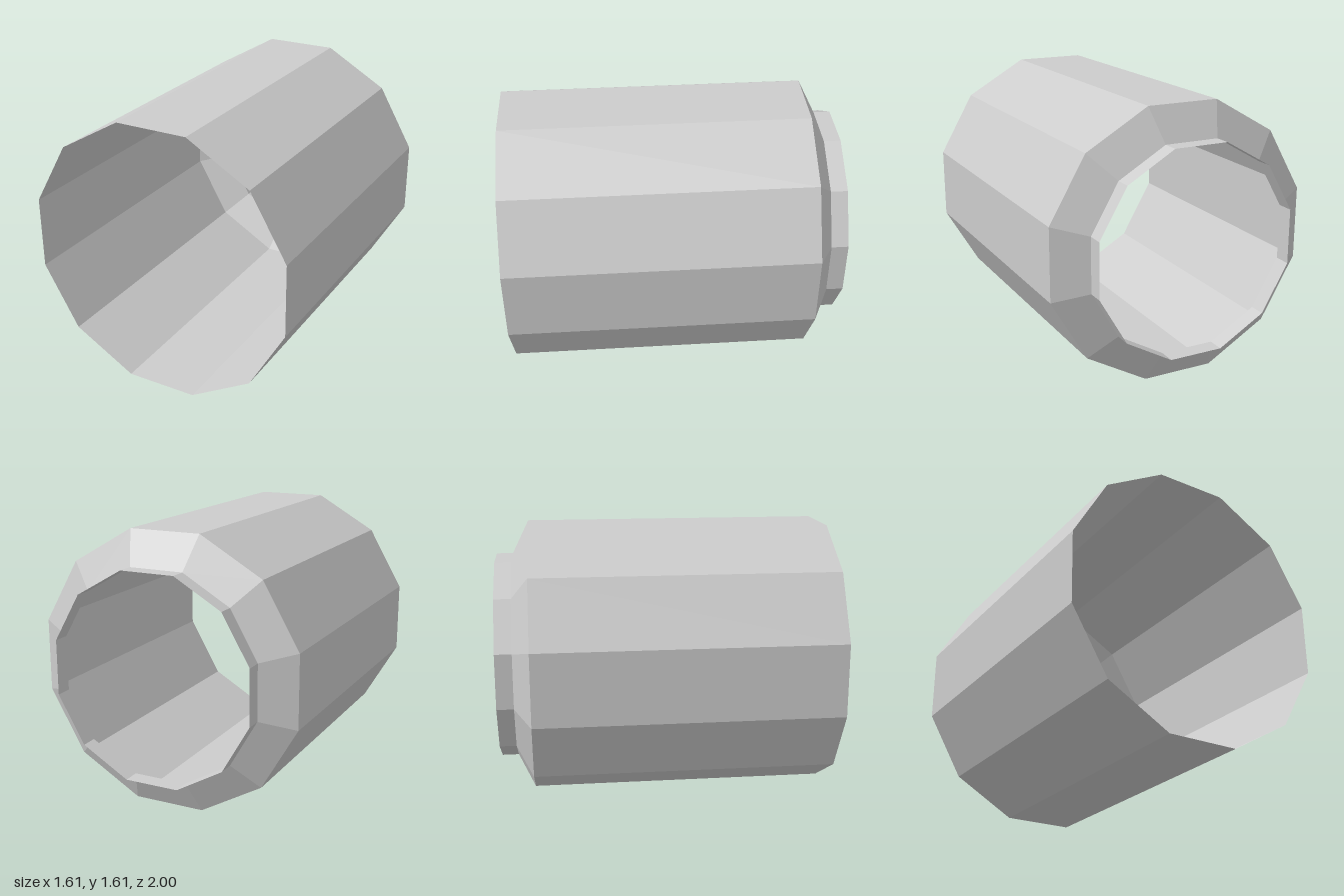
import * as THREE from 'three';

const SIDES = 12;
const APOTHEM = 0.807; // centre to flat of the body
const toCorner = (a) => a / Math.cos(Math.PI / SIDES);

export function createModel() {
  const model = new THREE.Group();
  model.name = 'openCanister';

  const grey = new THREE.MeshStandardMaterial({ color: 0xcccccc, flatShading: true, side: THREE.DoubleSide });
  grey.name = 'light grey';

  // Open twelve-sided ring along z, with a flat on top
  function addRing(name, zFront, zBack, frontApothem, backApothem) {
    const ring = new THREE.CylinderGeometry(
      toCorner(backApothem), toCorner(frontApothem), zFront - zBack, SIDES, 1, true, Math.PI / SIDES);
    ring.rotateX(-Math.PI / 2);
    ring.translate(0, APOTHEM, (zFront + zBack) / 2);
    const mesh = new THREE.Mesh(ring, grey);
    mesh.name = name;
    model.add(mesh);
  }

  addRing('body', 1, -0.8, APOTHEM, APOTHEM);
  addRing('shoulder', -0.8, -0.9, APOTHEM, 0.61);
  addRing('neck', -0.9, -1, 0.61, 0.61);

  return model;
}
